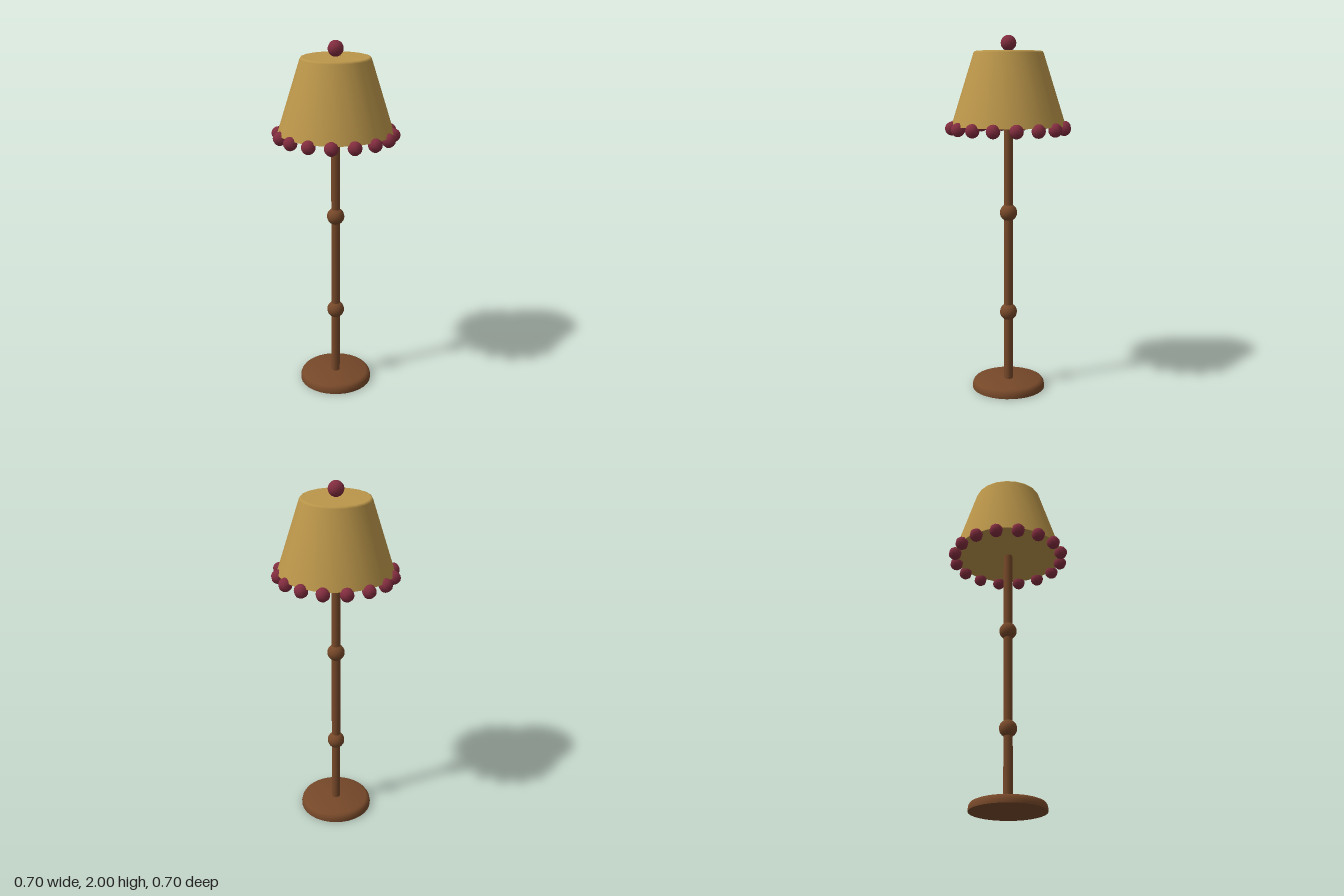
import * as THREE from 'three';
import { toCreasedNormals } from 'three/addons/utils/BufferGeometryUtils.js';

export function createModel() {
  const lamp = new THREE.Group();
  lamp.name = 'floorLamp';

  const material = (name, color) => {
    const m = new THREE.MeshStandardMaterial({ color });
    m.name = name;
    return m;
  };
  const wood = material('brown wood', 0x764829);
  const fabric = material('gold fabric', 0xbb964a);
  const trim = material('maroon trim', 0x822d3f);

  const add = (name, geometry, mat, x = 0, y = 0, z = 0, parent = lamp) => {
    const mesh = new THREE.Mesh(geometry, mat);
    mesh.name = name;
    mesh.position.set(x, y, z);
    parent.add(mesh);
  };
  const lathe = (points, sides) =>
    new THREE.LatheGeometry(points.map(([r, y]) => new THREE.Vector2(r, y)), sides);

  // Round base with a flat underside and a softened upper edge
  const base = lathe([
    [0, 0.003], [0.207, 0.003], [0.208, 0.014], [0.204, 0.034],
    [0.196, 0.046], [0.182, 0.052], [0, 0.052],
  ], 32);
  add('base', toCreasedNormals(base, 0.9), wood);

  // Stem with two turned knobs
  add('stem', new THREE.CylinderGeometry(0.025, 0.025, 1.47, 12), wood, 0, 0.775, 0);
  for (const y of [0.45, 1.025]) {
    add('stemKnob', new THREE.SphereGeometry(0.049, 16, 12), wood, 0, y, 0);
  }

  // Tapered shade with a soft upper edge, closed underneath
  add('shade', lathe([
    [0.315, 1.511], [0.191, 1.904], [0.187, 1.912], [0.178, 1.915], [0, 1.915],
  ], 20), fabric);
  add('shadeUnderside', lathe([[0, 1.511], [0.315, 1.511]], 20), fabric);

  // Ball fringe around the hem
  const fringe = new THREE.Group();
  fringe.name = 'fringe';
  lamp.add(fringe);
  const bead = new THREE.SphereGeometry(0.038, 8, 8);
  for (let i = 0; i < 16; i++) {
    const a = (i / 16) * Math.PI * 2;
    add('fringeBead', bead, trim, Math.cos(a) * 0.312, 1.497, Math.sin(a) * 0.312, fringe);
  }

  // Finial
  add('finial', new THREE.SphereGeometry(0.043, 12, 10), trim, 0, 1.957, 0);

  return lamp;
}
